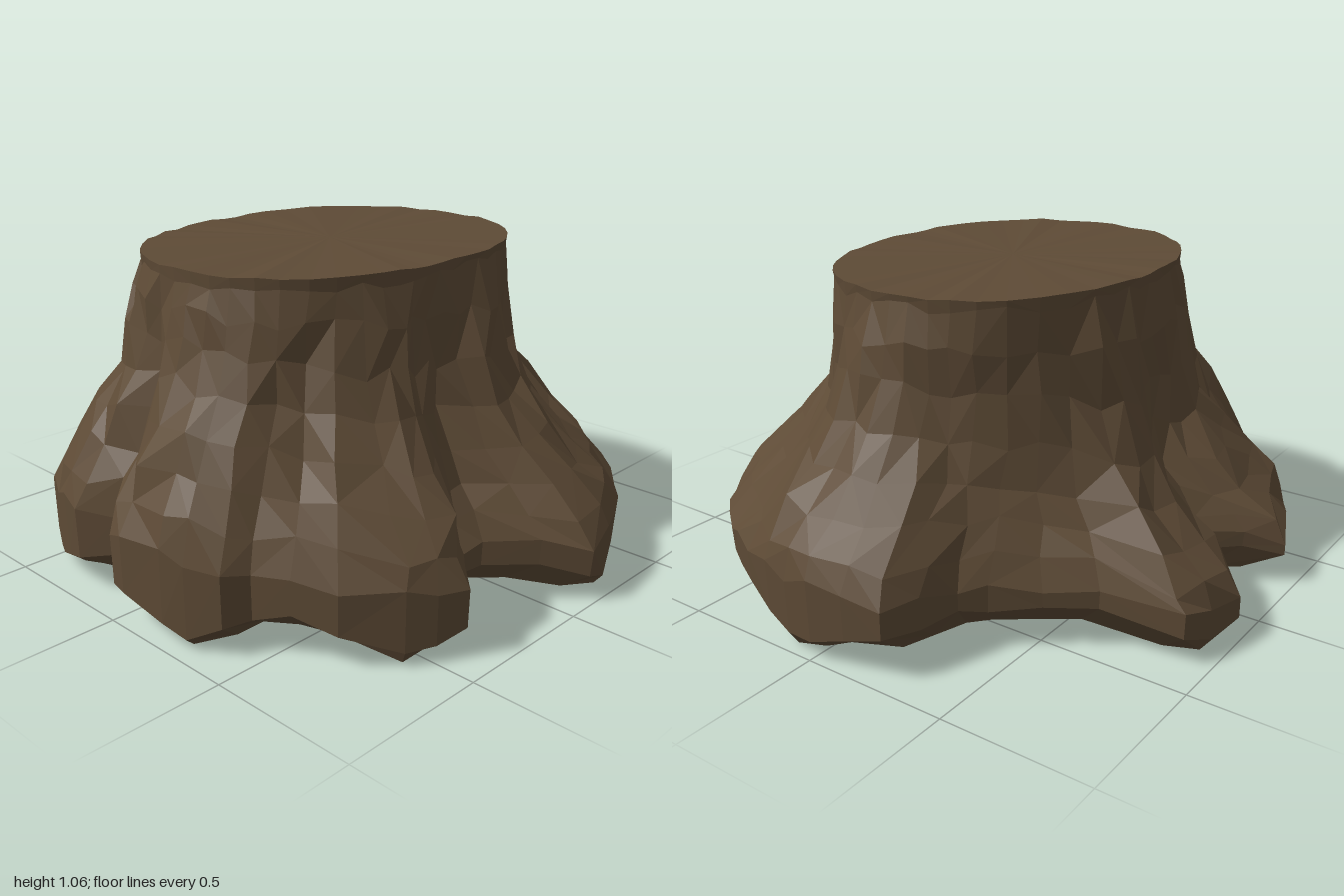
import * as THREE from 'three';

// Ground outline of the flared roots (x, z), clockwise from the back
const outline = [
  [-0.26, -0.97], [-0.13, -0.99], [0.0, -1.0], [0.1, -0.99], [0.2, -0.97], [0.32, -0.93], [0.42, -0.88],
  [0.53, -0.81], [0.62, -0.74], [0.71, -0.66], [0.78, -0.57], [0.85, -0.48], [0.9, -0.38], [0.96, -0.24],
  [0.99, -0.11], [0.87, 0.0], [0.74, 0.13], [0.73, 0.21], [0.82, 0.32], [0.91, 0.41], [0.87, 0.5], [0.82, 0.58],
  [0.69, 0.72], [0.56, 0.78], [0.45, 0.83], [0.41, 0.91], [0.3, 0.955], [0.22, 0.98], [0.06, 1.0], [0.0, 0.99],
  [-0.1, 0.89], [-0.23, 0.96], [-0.32, 0.94], [-0.4, 0.91], [-0.48, 0.87], [-0.56, 0.83], [-0.57, 0.75],
  [-0.66, 0.64], [-0.8, 0.6], [-0.85, 0.52], [-0.9, 0.42], [-0.97, 0.28], [-0.85, 0.19], [-0.75, 0.1],
  [-0.87, 0.02], [-1.0, -0.14], [-0.97, -0.28], [-0.93, -0.38], [-0.67, -0.44], [-0.53, -0.54],
  [-0.4, -0.64], [-0.34, -0.71], [-0.3, -0.84],
];
// Root tips that reach down to the ground
const tips = [[-0.47, 0.88], [0.28, 0.96], [0.96, -0.25], [-0.97, -0.25], [0.82, 0.57], [-0.86, 0.48], [0.08, -0.98]];
// Bark rings: height, and how far each has spread from the cut top to the ground outline
const rings = [
  [1.03, -0.01], [0.9, 0.06], [0.76, 0.13], [0.62, 0.26], [0.5, 0.49],
  [0.4, 0.71], [0.31, 0.9], [0.23, 1.0], [0.15, 0.985],
];
const count = outline.length;

let seed = 11;
function jitter(amount) {
  seed = (seed * 16807) % 2147483647;
  return (seed / 2147483647 - 0.5) * 2 * amount;
}

// Points on the rounded oval cut, with directions averaged over neighbours for even spacing
const topPoints = outline.map((_, i) => {
  let dx = 0, dz = 0;
  for (let k = -2; k <= 2; k++) {
    const [x, z] = outline[(i + k + count) % count];
    const length = Math.hypot(x, z - 0.05);
    dx += x / length;
    dz += (z - 0.05) / length;
  }
  const power = 2.25;
  const r = (Math.abs(dx / 0.515) ** power + Math.abs(dz / 0.65) ** power) ** (-1 / power);
  return [dx * r, 0.05 + dz * r];
});

// How strongly an outline point belongs to a root tip, 0 to 1
function tipAmount([x, z], reach) {
  const d = Math.min(...tips.map(([a, b]) => Math.hypot(x - a, z - b)));
  return Math.max(0, 1 - d / reach);
}

function cutRing() {
  return topPoints.map(([x, z]) => [x, 1.063 + jitter(0.004), z]);
}

function barkRing([height, spread], row) {
  return outline.map((p, i) => {
    const [tx, tz] = topPoints[i];
    const middle = row > 0 && row < 7;
    const bulge = Math.sin(Math.PI * Math.min(1, height / 1.03));
    // Front and back roots leave the trunk higher, side ones lower
    let lift = (p[1] > 0 ? 0.13 : 0.05) * p[1] * p[1];
    lift -= (p[0] < 0 ? 0.1 : 0.03) * p[0] * p[0];
    // Hollows between the roots
    const hollow = middle ? 0.2 * (1 - Math.min(1, 1.6 * tipAmount(p, 0.45))) * bulge * bulge : 0;
    const f = Math.max(spread - hollow + (middle ? jitter(0.04) : 0), Math.min(spread, 0.03));
    const x = tx + (p[0] - tx) * f + (middle ? jitter(0.012) : 0);
    const z = tz + (p[1] - tz) * f + (middle ? jitter(0.012) : 0);
    const r = Math.max(1, Math.hypot(x, z));
    let y = height + lift * bulge + jitter(row === 0 ? 0.015 : 0.024);
    // Lower rim arches up between the tips
    if (row === rings.length - 1) y = height - 0.1 * tipAmount(p, 0.3) + jitter(0.012);
    return [x / r, y, z / r];
  });
}

// Undercut foot, tucked in below the roots and dipping at the tips
function footRing() {
  return outline.map((p) => {
    const t = tipAmount(p, 0.22);
    const s = 0.85 + 0.12 * t;
    return [p[0] * s, 0.05 - 0.04 * t, p[1] * s];
  });
}

function mesh(name, triangles, material) {
  const geometry = new THREE.BufferGeometry();
  geometry.setAttribute('position', new THREE.Float32BufferAttribute(triangles.flat(), 3));
  geometry.computeVertexNormals();
  const part = new THREE.Mesh(geometry, material);
  part.name = name;
  return part;
}

// Skin between successive rings, with varied diagonals for a faceted look
function skin(list) {
  const out = [];
  for (let r = 0; r < list.length - 1; r++) {
    for (let i = 0; i < count; i++) {
      const j = (i + 1) % count;
      const a = list[r][i], b = list[r][j], c = list[r + 1][i], d = list[r + 1][j];
      if (jitter(1) > 0) out.push(a, b, c, b, d, c);
      else out.push(a, b, d, a, d, c);
    }
  }
  return out;
}

// Fan from a centre point to a ring
function fan(ring, centre, up) {
  return ring.flatMap((p, i) => {
    const q = ring[(i + 1) % count];
    return up ? [centre, q, p] : [centre, p, q];
  });
}

export function createModel() {
  const group = new THREE.Group();
  group.name = 'treeStump';
  const wood = new THREE.MeshStandardMaterial({ color: 0x5e4b36, flatShading: true });

  const cut = cutRing();
  const bark = rings.map(barkRing);
  const foot = footRing();
  // Inner edge of the flat base
  const base = outline.map(([x, z]) => [x * 0.72, 0.05, z * 0.72]);

  group.add(mesh('cutTop', fan(cut, [0, 1.063, 0.05], true), wood));
  group.add(mesh('barkAndRoots', skin([cut, ...bark, foot]), wood));
  group.add(mesh('underside', [...skin([foot, base]), ...fan(base, [0, 0.05, 0], false)], wood));
  return group;
}
